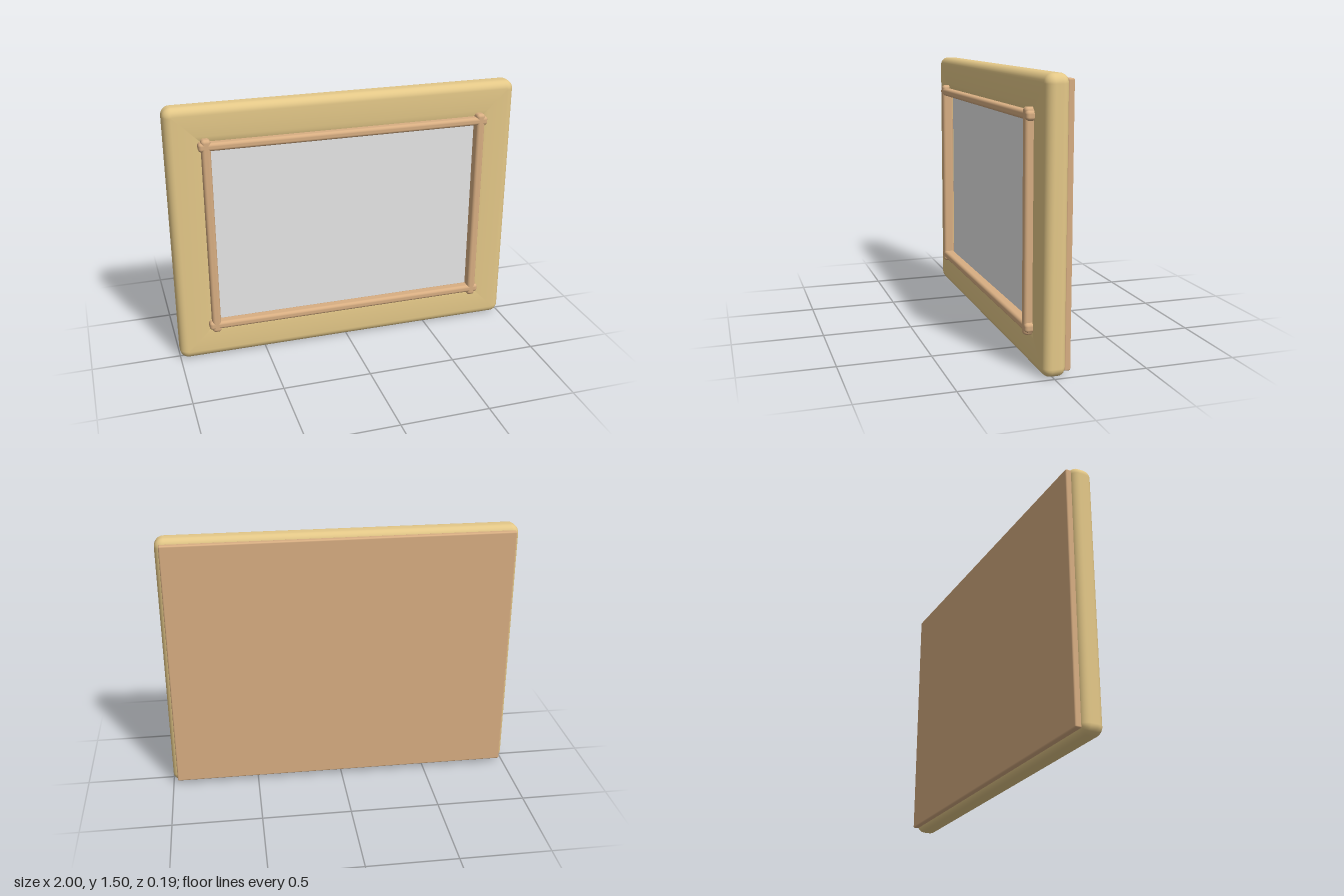
import * as THREE from 'three';
import { RoundedBoxGeometry } from 'three/addons/geometries/RoundedBoxGeometry.js';

const MID_Y = 0.75;

function material(name, color) {
  const m = new THREE.MeshStandardMaterial({ color });
  m.name = name;
  return m;
}

// Rounded rectangle loop, inset from the outer edge, counterclockwise from the front
function frameLoop(inset, z) {
  const r = Math.max(0.05 - inset, 0.001), steps = 6, points = [];
  const cx = 1 - inset - r, cy = 0.75 - inset - r;
  [[1, 1], [-1, 1], [-1, -1], [1, -1]].forEach(([sx, sy], quarter) => {
    for (let k = 0; k <= steps; k++) {
      const a = (quarter + k / steps) * Math.PI / 2;
      points.push([sx * cx + r * Math.cos(a), MID_Y + sy * cy + r * Math.sin(a), z]);
    }
  });
  return points;
}

// Soft-edged frame with an opening: a cross-section carried around the rectangle
function frameGeometry() {
  const profile = [[0.06, -0.066]];
  for (let k = 0; k <= 6; k++) {
    const a = k / 6 * Math.PI / 2;
    profile.push([0.04 - 0.04 * Math.sin(a), -0.026 - 0.04 * Math.cos(a)]);
  }
  for (let k = 0; k <= 6; k++) {
    const a = k / 6 * Math.PI / 2;
    profile.push([0.045 - 0.045 * Math.cos(a), 0.01 + 0.045 * Math.sin(a)]);
  }
  profile.push([0.1, 0.056], [0.16, 0.054], [0.195, 0.05], [0.203, 0.042], [0.205, 0]);

  const loops = profile.map(([inset, z]) => frameLoop(inset, z));
  const n = loops[0].length, index = [];
  for (let i = 0; i < loops.length - 1; i++) {
    for (let j = 0; j < n; j++) {
      const a = i * n + j, b = i * n + (j + 1) % n;
      index.push(a, b, a + n, b, b + n, a + n);
    }
  }
  const geometry = new THREE.BufferGeometry();
  geometry.setAttribute('position', new THREE.Float32BufferAttribute(loops.flat(2), 3));
  geometry.setIndex(index);
  geometry.computeVertexNormals();
  return geometry;
}

export function createModel() {
  const group = new THREE.Group();
  group.name = 'framedPanel';
  const paleWood = material('paleWood', 0xe4c888);
  const trimWood = material('trimWood', 0xd8ae82);
  const grey = material('greyPanel', 0xe6e6e6);

  function add(name, geometry, mat, x, y, z) {
    const mesh = new THREE.Mesh(geometry, mat);
    mesh.position.set(x, y, z);
    mesh.name = name;
    group.add(mesh);
  }

  // Frame, backing board and flat panel recessed in the opening
  add('frame', frameGeometry(), paleWood, 0, 0, 0);
  add('backBoard', new RoundedBoxGeometry(1.95, 1.448, 0.035, 3, 0.008), trimWood, 0, MID_Y, -0.0775);
  add('panel', new THREE.BoxGeometry(1.6, 1.1, 0.008), grey, 0, MID_Y, 0.016);

  // Trim rails around the panel, with crossing knobs at the corners
  const block = (name, w, h, d, r, x, y) =>
    add(name, new RoundedBoxGeometry(w, h, d, 5, r), trimWood, x, y, 0.094 - d / 2);
  for (const s of [-1, 1]) {
    const x = s * 0.7865, y = MID_Y + s * 0.537;
    block('sideRail', 0.049, 1.1, 0.066, 0.017, x, MID_Y);
    block('crossRail', 1.6, 0.045, 0.066, 0.017, 0, y);
    for (const t of [-1, 1]) {
      block('sideRailEnd', 0.051, 0.072, 0.067, 0.018, x, MID_Y + t * 0.543);
      block('crossRailEnd', 0.07, 0.051, 0.067, 0.018, s * 0.793, MID_Y + t * 0.537);
    }
  }
  return group;
}
